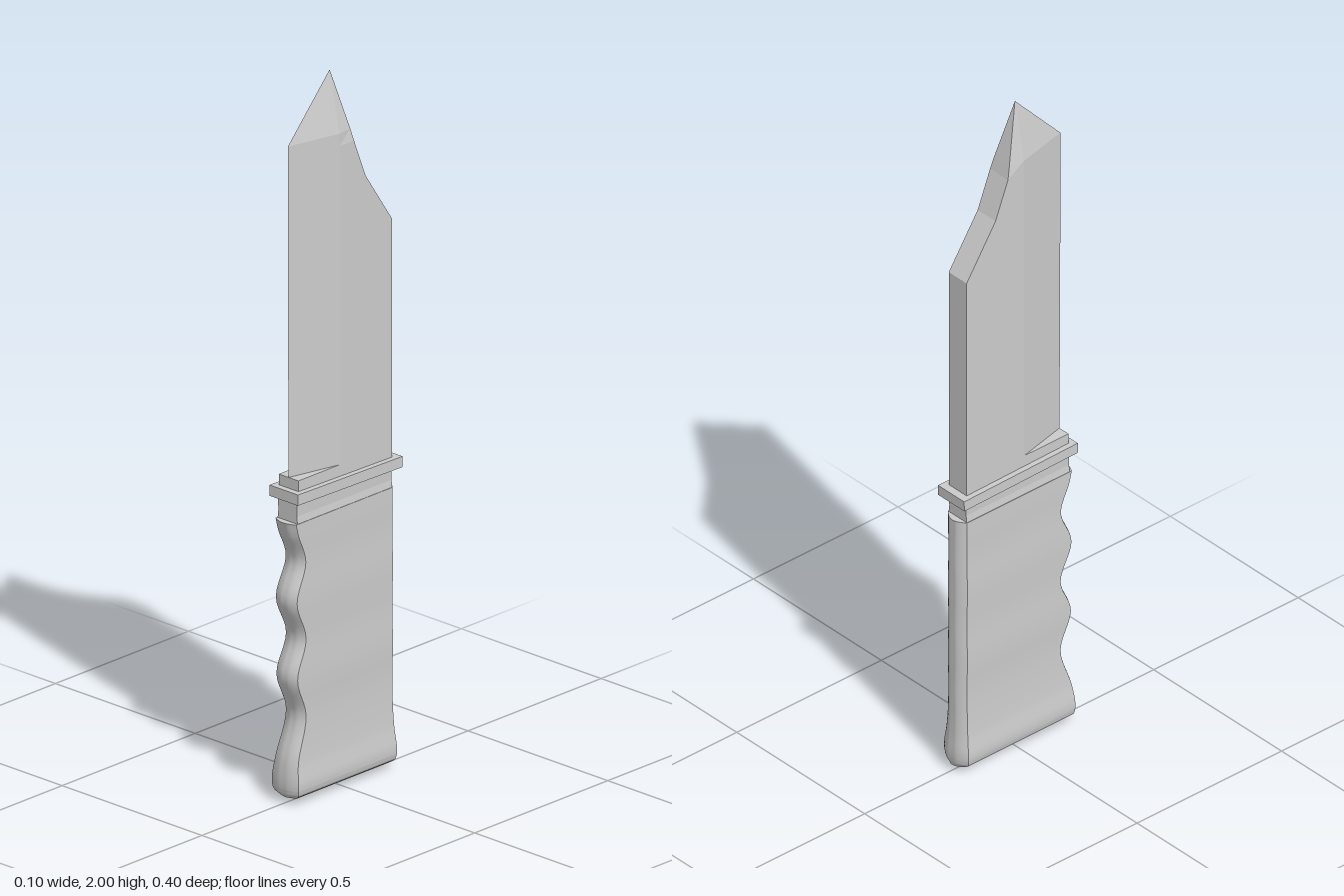
import * as THREE from 'three';
import { toCreasedNormals } from 'three/addons/utils/BufferGeometryUtils.js';

// Skin a stack of rings (bottom to top, each counter-clockwise from above), closed at both ends.
function loft(rings, bottomCentre) {
  const pos = [];
  const tri = (a, b, c) => {
    const area = b.clone().sub(a).cross(c.clone().sub(a)).length();
    if (area > 1e-9) for (const p of [a, b, c]) pos.push(p.x, p.y, p.z);
  };
  const centre = (ring) =>
    ring.reduce((s, p) => s.add(p), new THREE.Vector3()).divideScalar(ring.length);
  const n = rings[0].length;
  const first = rings[0], last = rings[rings.length - 1];
  const low = bottomCentre || centre(first), high = centre(last);
  for (let j = 0; j < n; j++) {
    const k = (j + 1) % n;
    for (let i = 0; i < rings.length - 1; i++) {
      const r = rings[i], s = rings[i + 1];
      tri(r[j], r[k], s[k]);
      tri(r[j], s[k], s[j]);
    }
    tri(low, first[k], first[j]);
    tri(high, last[j], last[k]);
  }
  const g = new THREE.BufferGeometry();
  g.setAttribute('position', new THREE.Float32BufferAttribute(pos, 3));
  g.computeVertexNormals();
  return g;
}

export function createModel() {
  const group = new THREE.Group();
  const flat = new THREE.MeshStandardMaterial({ color: 0xcccccc, flatShading: true });
  const smooth = new THREE.MeshStandardMaterial({ color: 0xcccccc });
  const add = (name, geometry, material = flat) => {
    const mesh = new THREE.Mesh(geometry, material);
    mesh.name = name;
    group.add(mesh);
    return mesh;
  };
  const v = (x, y, z) => new THREE.Vector3(x, y, z);

  // Blade: flat spine half, bevelled cutting half, clipped point.
  // Rows: height, spine z, spine half width, ridge half width, cutting edge z
  const bladeRows = [
    [0.86, -0.178, 0.035, 0.035, 0.174],
    [1.535, -0.178, 0.035, 0.035, 0.177],
    [1.685, -0.078, 0.035, 0.035, 0.177],
    [1.795, -0.035, 0.035, 0.035, 0.177],
    [1.83, -0.026, 0.03, 0.035, 0.177],
    [2.0, 0.02, 0, 0, 0.02],
  ];
  add('blade', loft(bladeRows.map(([y, zs, ws, wr, ze]) => [
    v(0, y, ze), v(wr, y, 0.02), v(ws, y, zs), v(-ws, y, zs), v(-wr, y, 0.02),
  ])));

  // Square block at the blade root
  add('bladeRoot', new THREE.BoxGeometry(0.07, 0.05, 0.352)).position.set(0, 0.88, -0.002);

  // Guard, tipped slightly down toward the back
  const guard = add('guard', new THREE.BoxGeometry(0.102, 0.03, 0.393));
  guard.position.set(0, 0.857, -0.004);
  guard.rotation.x = -0.017;

  // Neck between guard and grip, spreading at its foot
  const neckRows = [[0.775, 0.037], [0.805, 0.033], [0.85, 0.034]];
  add('neck', loft(neckRows.map(([y, w]) => [
    v(w, y, 0.178), v(w, y, -0.178), v(-w, y, -0.178), v(-w, y, 0.178),
  ])));

  // Grip: finger grooves in front, straight back, flared butt.
  // Control points: half width, height, front side-edge z
  const gripCurve = new THREE.CatmullRomCurve3([
    v(0.031, 0.017, 0.176), v(0.044, 0.028, 0.184), v(0.048, 0.055, 0.187),
    v(0.041, 0.12, 0.18), v(0.036, 0.24, 0.146), v(0.038, 0.35, 0.18),
    v(0.036, 0.455, 0.146), v(0.038, 0.565, 0.182), v(0.036, 0.67, 0.147),
    v(0.037, 0.75, 0.175), v(0.037, 0.785, 0.184),
  ]);
  const ARC = 10;
  const gripRings = gripCurve.getPoints(60).map(({ x: w, y, z: front }) => {
    const back = -0.178 - Math.max(0, w - 0.038) * 0.5;
    const ring = [];
    for (let i = 0; i <= ARC; i++) {
      const t = -1 + (2 * i) / ARC;
      ring.push(v(w * t, y, front + 0.012 * (1 - t * t)));
    }
    for (let i = 0; i <= ARC; i++) {
      const t = 1 - (2 * i) / ARC;
      ring.push(v(w * t, y, back - 0.019 * (1 - t * t)));
    }
    return ring;
  });
  add('grip', toCreasedNormals(loft(gripRings, v(0, 0, 0)), 0.6), smooth);

  return group;
}
